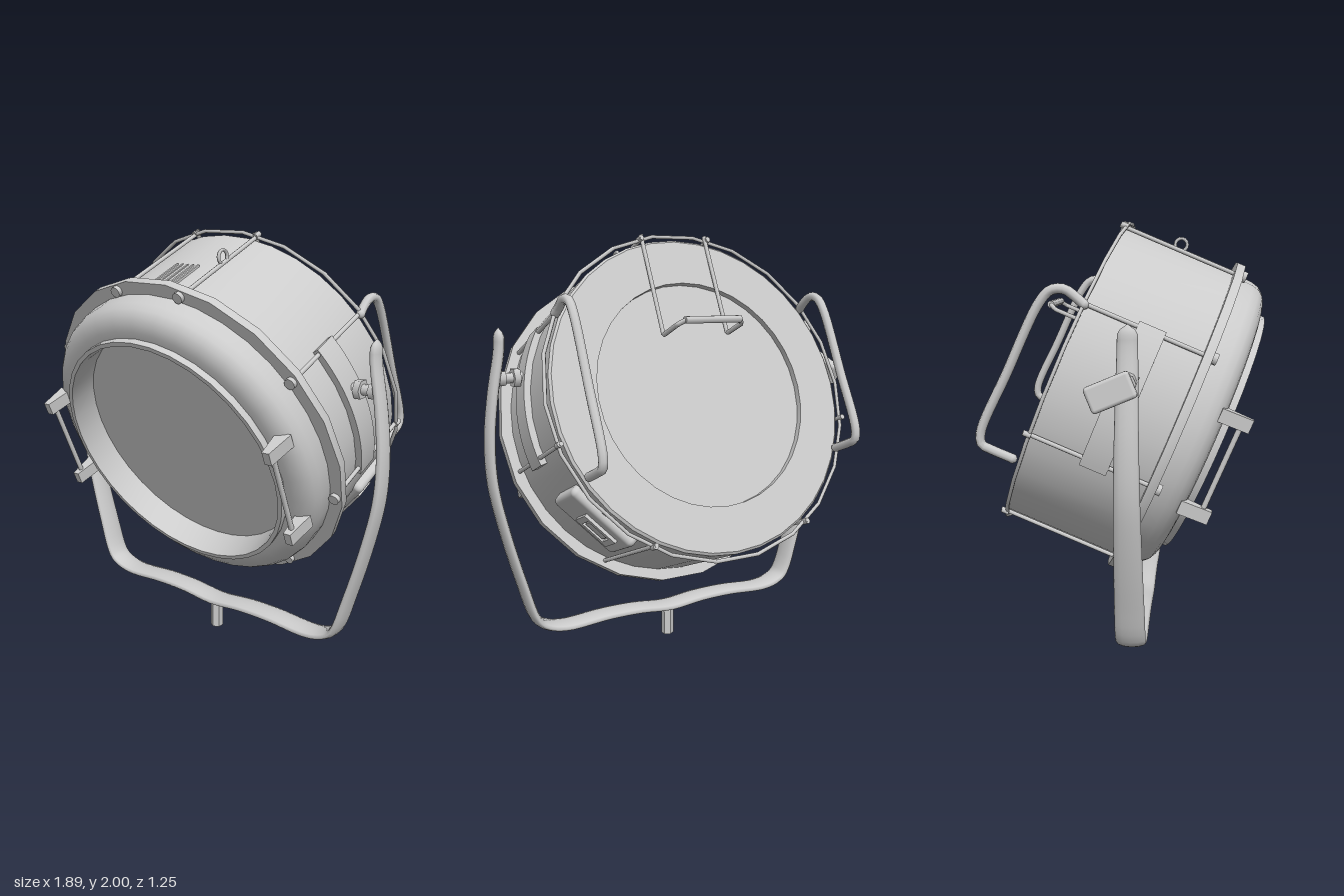
import * as THREE from 'three';
import { toCreasedNormals } from 'three/addons/utils/BufferGeometryUtils.js';
import { RoundedBoxGeometry } from 'three/addons/geometries/RoundedBoxGeometry.js';

const mat = new THREE.MeshStandardMaterial({ color: 0xcccccc });
const V = (x, y, z) => new THREE.Vector3(x, y, z);
const RAD = Math.PI / 180;

function add(parent, name, geo, x = 0, y = 0, z = 0) {
  const mesh = new THREE.Mesh(geo, mat);
  mesh.name = name;
  mesh.position.set(x, y, z);
  parent.add(mesh);
  return mesh;
}

// Lathe around z; points are [radius, z] running from back to front
function lathe(points, sides) {
  const pts = points.map(([r, z]) => new THREE.Vector2(r, z));
  const geo = new THREE.LatheGeometry(pts, sides, Math.PI / 2);
  return toCreasedNormals(geo.rotateX(Math.PI / 2), 0.6);
}

// Cylinder lying along z or x
const rodZ = (r, len, sides = 8) => new THREE.CylinderGeometry(r, r, len, sides).rotateX(Math.PI / 2);
const rodX = (r, len, sides = 10) => new THREE.CylinderGeometry(r, r, len, sides).rotateZ(Math.PI / 2);

// Bent rod with rounded ends
function bentRod(parent, name, points, r) {
  const curve = new THREE.CatmullRomCurve3(points, false, 'centripetal');
  add(parent, name, new THREE.TubeGeometry(curve, 48, r, 8));
  for (const p of [points[0], points[points.length - 1]])
    add(parent, name + 'End', new THREE.SphereGeometry(r, 8, 6), p.x, p.y, p.z);
}

// Yoke: oval section swept along a U, wider at the bottom and rounded at the tips
function yokeGeometry() {
  const half = [[0.845, 1.588], [0.845, 1.5], [0.88, 1.3], [0.902, 1.1], [0.897, 0.9], [0.858, 0.7],
    [0.775, 0.4], [0.71, 0.215], [0.66, 0.178], [0.57, 0.158], [0.35, 0.17], [0.18, 0.168]];
  const pts = [...half.map(([x, y]) => V(-x, y, 0)), V(0, 0.152, 0),
    ...half.slice().reverse().map(([x, y]) => V(x, y, 0))];
  const curve = new THREE.CatmullRomCurve3(pts, false, 'centripetal');
  const n = 100, m = 12, pos = [], index = [];
  for (let i = 0; i <= n; i++) {
    const t = i / n, p = curve.getPoint(t), d = curve.getTangent(t);
    const tip = Math.min(1, Math.sqrt(Math.min(t, 1 - t) / 0.02) + 0.02);
    const wide = (0.04 + 0.026 * THREE.MathUtils.clamp((1.6 - p.y) / 1.3, 0, 1)) * tip;
    const thin = 0.022 * tip;
    for (let j = 0; j < m; j++) {
      const a = (j / m) * Math.PI * 2;
      const c = Math.cos(a) * thin;
      pos.push(p.x - d.y * c, p.y + d.x * c, Math.sin(a) * wide);
      if (i < n) {
        const a0 = i * m + j, a1 = i * m + ((j + 1) % m);
        index.push(a0, a1, a0 + m, a1, a1 + m, a0 + m);
      }
    }
  }
  const geo = new THREE.BufferGeometry();
  geo.setAttribute('position', new THREE.Float32BufferAttribute(pos, 3));
  geo.setIndex(index);
  geo.computeVertexNormals();
  return geo;
}

// Plate with a rectangular hole
function frameGeometry(w, h, iw, ih, depth) {
  const rect = (C, a, b) => new C([[-a, -b], [a, -b], [a, b], [-a, b]].map(([x, y]) => new THREE.Vector2(x / 2, y / 2)));
  const shape = rect(THREE.Shape, w, h);
  shape.holes.push(rect(THREE.Path, iw, ih));
  return new THREE.ExtrudeGeometry(shape, { depth, bevelEnabled: false });
}

// Block that narrows sideways towards the front
function clampGeometry() {
  const geo = new THREE.BoxGeometry(0.07, 0.06, 0.14);
  const p = geo.attributes.position;
  for (let i = 0; i < p.count; i++) if (p.getZ(i) > 0) p.setX(i, p.getX(i) * 0.5);
  geo.computeVertexNormals();
  return geo;
}

// Curved strap hugging the drum, from the upper to the lower tie rod
function strapGeometry() {
  const shape = new THREE.Shape();
  shape.absarc(0, 0, 0.775, -16 * RAD, 33 * RAD, false);
  shape.absarc(0, 0, 0.74, 33 * RAD, -16 * RAD, true);
  const geo = new THREE.ExtrudeGeometry(shape, { depth: 0.12, bevelEnabled: false, curveSegments: 12 });
  return toCreasedNormals(geo.translate(0, 0, -0.06), 0.6);
}

export function createModel() {
  const model = new THREE.Group();
  model.name = 'floodlight';

  // Lamp head, tilted downwards; its local z is the beam axis
  const lamp = new THREE.Group();
  lamp.name = 'lampHead';
  lamp.position.set(0.02, 1.075, 0.2);
  lamp.rotation.x = 0.395;
  model.add(lamp);

  // Drum with a recessed back plate
  add(lamp, 'drum', lathe([[0, -0.53], [0.53, -0.53], [0.53, -0.56], [0.735, -0.56], [0.746, -0.55], [0.746, 0]], 36));
  // Flange, rounded bezel, lens rim with a deep inner wall, and lens
  add(lamp, 'flange', lathe([[0.74, -0.02], [0.8, -0.02], [0.8, 0.02], [0.72, 0.02]], 22));
  add(lamp, 'bezel', lathe([[0.74, 0], [0.735, 0.085], [0.725, 0.12], [0.705, 0.145], [0.675, 0.162],
    [0.64, 0.17], [0.6, 0.17]], 36));
  add(lamp, 'lensRim', lathe([[0.608, 0.15], [0.608, 0.203], [0.588, 0.203], [0.58, 0.06]], 36));
  add(lamp, 'lens', lathe([[0.582, 0.06], [0, 0.06]], 36));
  // Wire hoop around the back
  add(lamp, 'rearHoop', new THREE.TorusGeometry(0.77, 0.009, 6, 22), 0, 0, -0.552);

  // Tie rods with bolts on the flange
  for (const deg of [76.5, 31.5, -13.5, -58.5])
    for (const s of [1, -1]) {
      const c = s * Math.cos(deg * RAD), y = Math.sin(deg * RAD);
      add(lamp, 'tieRod', rodZ(0.01, 0.6), c * 0.762, y * 0.762, -0.28);
      add(lamp, 'flangeBolt', rodZ(0.025, 0.03, 10), c * 0.765, y * 0.765, 0.025);
      add(lamp, 'rodTip', rodZ(0.013, 0.035), c * 0.768, y * 0.768, -0.56);
    }

  // Wire bail on the back with a thicker grip
  const bail = new THREE.CurvePath();
  const half = [V(0.17, 0.765, -0.56), V(0.17, 0.27, -0.585), V(0.17, 0.27, -0.715), V(0.14, 0.28, -0.75)];
  const bp = [...half, ...half.map((p) => V(-p.x, p.y, p.z)).reverse()];
  for (let i = 1; i < bp.length; i++) bail.add(new THREE.LineCurve3(bp[i - 1], bp[i]));
  add(lamp, 'rearBail', new THREE.TubeGeometry(bail, 120, 0.011, 6));
  add(lamp, 'bailGrip', rodX(0.017, 0.29, 8), 0, 0.28, -0.748);

  // Hanging loop and vent ribs on top
  add(lamp, 'hangingLoop', new THREE.TorusGeometry(0.03, 0.008, 6, 14).rotateY(Math.PI / 2), 0.178, 0.767, -0.3);
  for (let i = -2; i <= 2; i++)
    add(lamp, 'ventRib', new THREE.BoxGeometry(0.01, 0.02, 0.23), 0.012 + i * 0.03, 0.739, -0.135);

  for (const s of [1, -1]) {
    // Carrying handle
    bentRod(lamp, 'carryHandle', [V(s * 0.655, 0.395, -0.55), V(s * 0.65, 0.408, -0.59), V(s * 0.65, 0.42, -0.65),
      V(s * 0.65, 0.395, -0.7), V(s * 0.65, 0.33, -0.725), V(s * 0.65, 0, -0.745), V(s * 0.65, -0.28, -0.757),
      V(s * 0.65, -0.325, -0.735), V(s * 0.65, -0.33, -0.69), V(s * 0.65, -0.33, -0.59)], 0.021);

    // Mounting strap
    const strap = add(lamp, 'mountingStrap', strapGeometry(), 0, 0, -0.255);
    strap.rotation.y = s > 0 ? 0 : Math.PI;

    // Front clamps joined by a rod
    for (const y of [0.2, -0.23]) add(lamp, 'clampBlock', clampGeometry(), s * 0.65, y, 0.21);
    add(lamp, 'clampRod', new THREE.CylinderGeometry(0.012, 0.012, 0.42, 8), s * 0.65, -0.015, 0.24);

    // Pivot between drum and yoke
    add(model, 'pivotBolt', rodX(0.024, 0.17), 0.02 + s * 0.795, 1.365, 0.035);
    add(model, 'pivotCollar', rodX(0.045, 0.03, 6), 0.02 + s * 0.775, 1.365, 0.035);
    add(model, 'pivotNut', rodX(0.036, 0.03, 6), 0.02 + s * 0.84, 1.365, 0.035);
  }

  // Switch panel on the lower side of the drum
  const panel = new THREE.Group();
  panel.name = 'switchPanel';
  const angle = -41 * RAD;
  panel.position.set(Math.cos(angle) * 0.735, Math.sin(angle) * 0.735, -0.365);
  panel.rotation.z = angle;
  lamp.add(panel);
  add(panel, 'panelPlate', new RoundedBoxGeometry(0.09, 0.36, 0.24, 3, 0.025), -0.01, 0, 0);
  add(panel, 'switchFrame', frameGeometry(0.11, 0.18, 0.065, 0.12, 0.018).rotateY(Math.PI / 2), 0.032, -0.03, -0.005);
  add(panel, 'switchRocker', new THREE.BoxGeometry(0.02, 0.1, 0.045), 0.035, -0.03, -0.005);

  // Yoke and mounting post
  add(model, 'yoke', yokeGeometry(), 0.02, 0, 0.038);
  add(model, 'mountingPost', toCreasedNormals(new THREE.CylinderGeometry(0.031, 0.031, 0.15, 6), 0.5), 0.02, 0.075, 0.038);

  // Locking lever on one side only
  add(model, 'leverHub', rodX(0.045, 0.06, 8), -0.89, 1.365, 0.035);
  const lever = add(model, 'lockingLever', new RoundedBoxGeometry(0.05, 0.11, 0.19, 2, 0.015), -0.92, 1.335, -0.02);
  lever.rotation.set(-0.4, 0, -0.08);
  return model;
}
